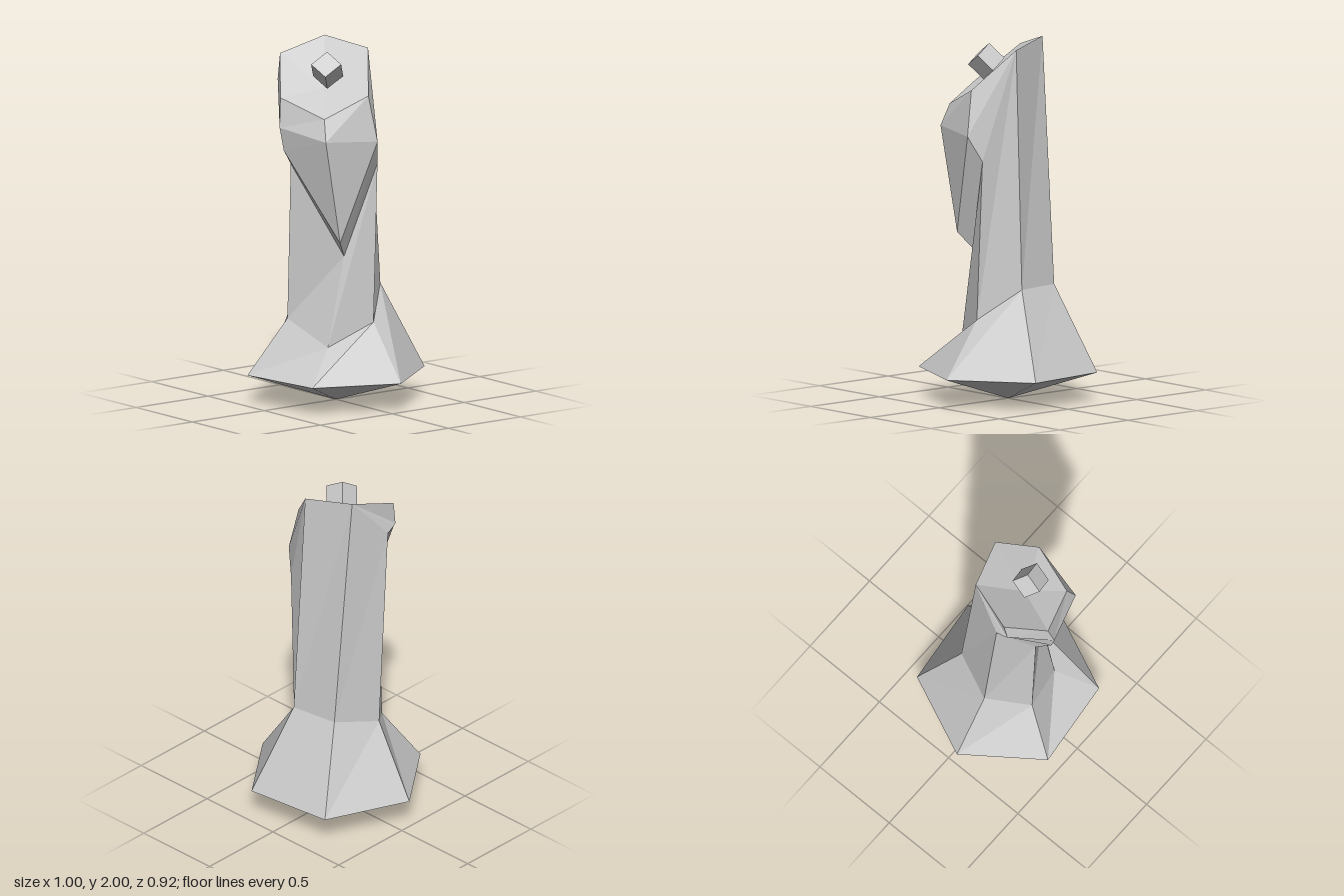
import * as THREE from 'three';

const material = new THREE.MeshStandardMaterial({ color: 0xcccccc, flatShading: true });

// Six-cornered rings [x, y, z], clockwise seen from above, starting at the back
const hem = [[0.2, 0.16, -0.46], [0.5, 0.16, -0.06], [0.3, 0.16, 0.4], [-0.2, 0.16, 0.46], [-0.5, 0.16, 0.06], [-0.3, 0.16, -0.4]];
const waist = [[0.1, 0.64, -0.23], [0.27, 0.47, -0.05], [0.17, 0.34, 0.19], [-0.1, 0.47, 0.26], [-0.27, 0.58, 0.06], [-0.17, 0.64, -0.19]];
const rim = [[0.08, 1.96, -0.16], [0.275, 1.74, -0.01], [0.21, 1.63, 0.245], [-0.06, 1.72, 0.34], [-0.255, 1.92, 0.19], [-0.19, 2, -0.07]];
// The overhanging head shares its two back corners with the rim
const neck = [rim[0], [0.26, 1.35, -0.085], [0.18, 0.84, 0.085], [-0.07, 1.34, 0.26], [-0.26, 1.75, 0.14], rim[5]];
const chin = [rim[0], [0.325, 1.49, -0.035], [0.235, 0.93, 0.155], [-0.03, 1.43, 0.34], [-0.255, 1.77, 0.19], rim[5]];
const brow = [rim[0], chin[1], [0.255, 1.51, 0.27], [-0.035, 1.56, 0.365], [-0.25, 1.78, 0.21], rim[5]];

function meshFrom(name, triangles) {
  // Drop triangles that collapse where rings share a corner
  const solid = triangles.filter(([a, b, c]) => a !== b && b !== c && a !== c);
  const geometry = new THREE.BufferGeometry();
  geometry.setAttribute('position', new THREE.Float32BufferAttribute(solid.flat(2), 3));
  geometry.computeVertexNormals();
  const mesh = new THREE.Mesh(geometry, material);
  mesh.name = name;
  return mesh;
}

// Side walls between successive rings, bottom to top
function walls(...rings) {
  const out = [];
  for (let r = 0; r < rings.length - 1; r++) {
    for (let k = 0; k < 6; k++) {
      const n = (k + 1) % 6;
      const [a, b, A, B] = [rings[r][k], rings[r][n], rings[r + 1][k], rings[r + 1][n]];
      out.push([b, a, A], [b, A, B]);
    }
  }
  return out;
}

export function createModel() {
  const group = new THREE.Group();

  // Pointed underside and flared foot
  const apex = [0, 0, 0];
  group.add(meshFrom('pointedBase', hem.map((a, k) => [apex, a, hem[(k + 1) % 6]])));
  group.add(meshFrom('flaredFoot', walls(hem, waist)));

  // Column and the faceted head that overhangs its front
  group.add(meshFrom('column', walls(waist, neck)));
  group.add(meshFrom('head', walls(neck, chin, brow, rim)));

  // Slanted, slightly hollow top
  const hollow = [0.02, 1.76, 0.1];
  group.add(meshFrom('hollowTop', rim.map((a, k) => [rim[(k + 1) % 6], a, hollow])));

  // Small tumbled cube resting in the hollow
  const cube = new THREE.Mesh(new THREE.BoxGeometry(0.117, 0.117, 0.117), material);
  const x = new THREE.Vector3(0.1, -0.057, -0.02).normalize();
  const y = new THREE.Vector3(0.003, -0.07, 0.093).cross(x).normalize();
  const z = new THREE.Vector3().crossVectors(x, y);
  cube.quaternion.setFromRotationMatrix(new THREE.Matrix4().makeBasis(x, y, z));
  cube.position.set(0.062, 1.865, 0.11);
  cube.name = 'smallCube';
  group.add(cube);

  return group;
}
